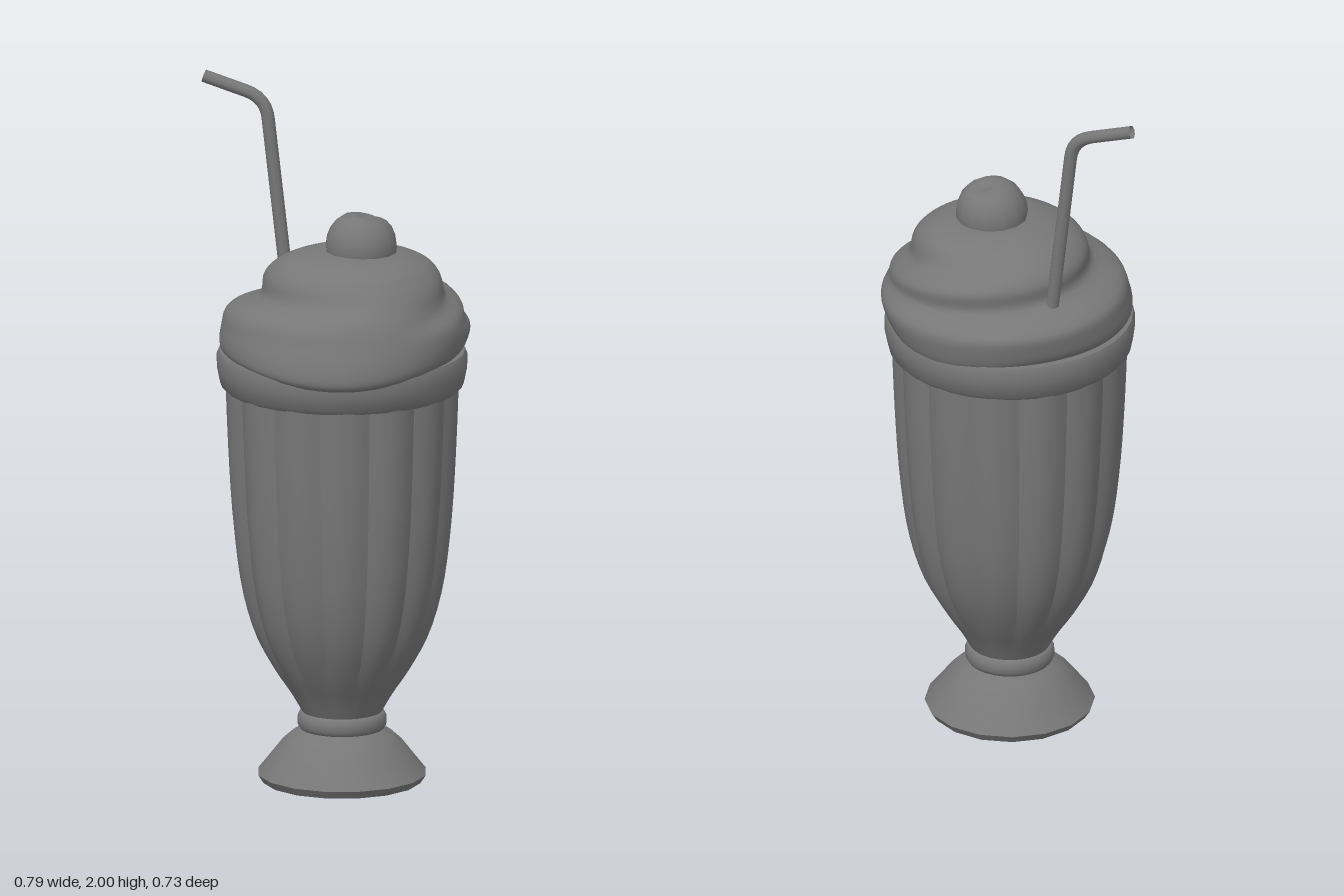
import * as THREE from 'three';
import { mergeVertices, toCreasedNormals } from 'three/addons/utils/BufferGeometryUtils.js';

const AXIS_X = 0.04, AXIS_Z = -0.008;
const material = new THREE.MeshStandardMaterial({ color: 0x777777, side: THREE.DoubleSide });

const toPoints = (list) => list.map(([r, y]) => new THREE.Vector2(r, y));
const smoothProfile = (list, rows) => new THREE.SplineCurve(toPoints(list)).getPoints(rows)
  .map((p) => new THREE.Vector2(Math.max(p.x, 0), p.y));

// Moves every vertex by a rule and rebuilds seamless smooth normals
function reshape(geometry, rule) {
  geometry.deleteAttribute('uv');
  geometry.deleteAttribute('normal');
  const merged = mergeVertices(geometry, 1e-4);
  const pos = merged.attributes.position;
  const v = new THREE.Vector3();
  for (let i = 0; i < pos.count; i++) {
    rule(v.fromBufferAttribute(pos, i));
    pos.setXYZ(i, v.x, v.y, v.z);
  }
  merged.computeVertexNormals();
  return merged;
}

function addPart(group, name, geometry, x = 0, y = 0, z = 0) {
  const mesh = new THREE.Mesh(geometry, material);
  mesh.name = name;
  mesh.position.set(x, y, z);
  group.add(mesh);
}

// Flared foot, hollow underneath
function footGeometry() {
  return toCreasedNormals(new THREE.LatheGeometry(toPoints([
    [0, 0.09], [0.08, 0.08], [0.15, 0.05], [0.2, 0.012], [0.225, 0.003], [0.24, 0.026],
    [0.205, 0.07], [0.17, 0.115], [0.14, 0.142], [0.11, 0.157]]), 16), 0.9);
}

// Bowl with fourteen rounded lobes meeting in sharp grooves
function bowlGeometry() {
  const profile = smoothProfile([[0.11, 0.2], [0.145, 0.26], [0.195, 0.335], [0.25, 0.44],
    [0.289, 0.58], [0.312, 0.76], [0.325, 0.96], [0.333, 1.16]], 22);
  const geometry = reshape(new THREE.LatheGeometry(profile, 112), (v) => {
    const lobe = Math.abs(Math.sin(7 * Math.atan2(v.x, v.z)));
    const depth = 0.05 * THREE.MathUtils.smoothstep(v.y, 0.2, 0.42);
    const k = 1 - depth * (1 - lobe);
    v.x *= k;
    v.z *= k;
  });
  return toCreasedNormals(geometry, 0.4);
}

// Spiral creases in the cream, in turns from the back: start, end, heights, depth
const CREASES = [[-0.12, 0.4, 1.52, 1.37, 0.04], [0.42, 1.3, 1.44, 1.35, 0.06]];

// Whipped cream: a soft dome cut by the descending creases
function creamGeometry() {
  const profile = smoothProfile([[0, 1.235], [0.28, 1.235], [0.335, 1.245], [0.35, 1.3],
    [0.335, 1.37], [0.295, 1.43], [0.25, 1.48], [0.2, 1.515], [0.12, 1.54], [0, 1.55]], 56);
  return reshape(new THREE.LatheGeometry(profile, 64), (v) => {
    const r = Math.hypot(v.x, v.z);
    const phi = Math.atan2(v.x, v.z);
    const u = (Math.PI - phi) / (2 * Math.PI);
    let offset = 0;
    for (const [start, end, y0, y1, maxDepth] of CREASES) {
      for (const t of [u - 1, u, u + 1]) {
        if (t < start || t > end) continue;
        const f = (t - start) / (end - start);
        const depth = maxDepth * Math.sin(Math.PI * f);
        const d = v.y - THREE.MathUtils.lerp(y0, y1, f);
        offset -= depth * Math.exp(-((d / (d > 0 ? 0.05 : 0.022)) ** 2));
        offset += 0.15 * depth * Math.exp(-(((d + 0.05) / 0.03) ** 2));
      }
    }
    // Soft sag over the rim at the front and the back
    const low = 1 - THREE.MathUtils.smoothstep(v.y, 1.24, 1.36);
    const edge = THREE.MathUtils.smoothstep(r, 0.2, 0.33);
    const sag = Math.max(0, Math.cos(phi - 0.2)) ** 3 + 0.8 * Math.max(0, -Math.cos(phi + 0.3)) ** 4;
    offset += 0.018 * sag * low;
    const k = r > 1e-4 ? 1 + offset * Math.min(1, r / 0.15) / r : 1;
    const s = THREE.MathUtils.clamp((v.y - 1.25) / 0.3, 0, 1);
    v.x = v.x * k + 0.04 * s;
    v.z = v.z * k - 0.02 * Math.sin(Math.PI * s);
    v.y += edge * low * (0.012 - 0.035 * sag);
  });
}

// Cherry with a stem dimple on top
function cherryGeometry() {
  return reshape(new THREE.SphereGeometry(0.102, 14, 12), (v) => {
    const r = Math.hypot(v.x - 0.015, v.z + 0.01);
    if (v.y > 0) v.y -= 0.03 * Math.exp(-((r / 0.035) ** 2));
  });
}

// Bent drinking straw, open at its tip
function strawGeometry() {
  const p = (x, y) => new THREE.Vector3(x, y, 0);
  const path = new THREE.CurvePath();
  path.add(new THREE.LineCurve3(p(-0.15, 1.38), p(-0.206, 1.87)));
  path.add(new THREE.QuadraticBezierCurve3(p(-0.206, 1.87), p(-0.213, 1.925), p(-0.265, 1.943)));
  path.add(new THREE.LineCurve3(p(-0.265, 1.943), p(-0.39, 1.982)));
  return new THREE.TubeGeometry(path, 40, 0.019, 8, false);
}

export function createModel() {
  const model = new THREE.Group();
  model.name = 'milkshake';

  const glass = new THREE.Group();
  glass.name = 'glass';
  glass.position.set(AXIS_X, 0, AXIS_Z);
  model.add(glass);

  addPart(glass, 'foot', footGeometry());
  addPart(glass, 'collar', new THREE.LatheGeometry(toPoints([
    [0.1, 0.152], [0.118, 0.155], [0.126, 0.168], [0.126, 0.188], [0.118, 0.204], [0.1, 0.207]]), 24));
  addPart(glass, 'bowl', bowlGeometry());
  addPart(glass, 'rim', toCreasedNormals(new THREE.LatheGeometry(toPoints([
    [0.3, 1.143], [0.33, 1.143], [0.343, 1.156], [0.352, 1.2], [0.353, 1.24],
    [0.347, 1.252], [0.33, 1.254], [0.28, 1.245]]), 32), 0.7));

  addPart(model, 'whippedCream', creamGeometry(), AXIS_X, 0, 0);
  addPart(model, 'cherry', cherryGeometry(), 0.097, 1.557, 0);
  addPart(model, 'straw', strawGeometry(), 0, 0, -0.175);
  return model;
}
